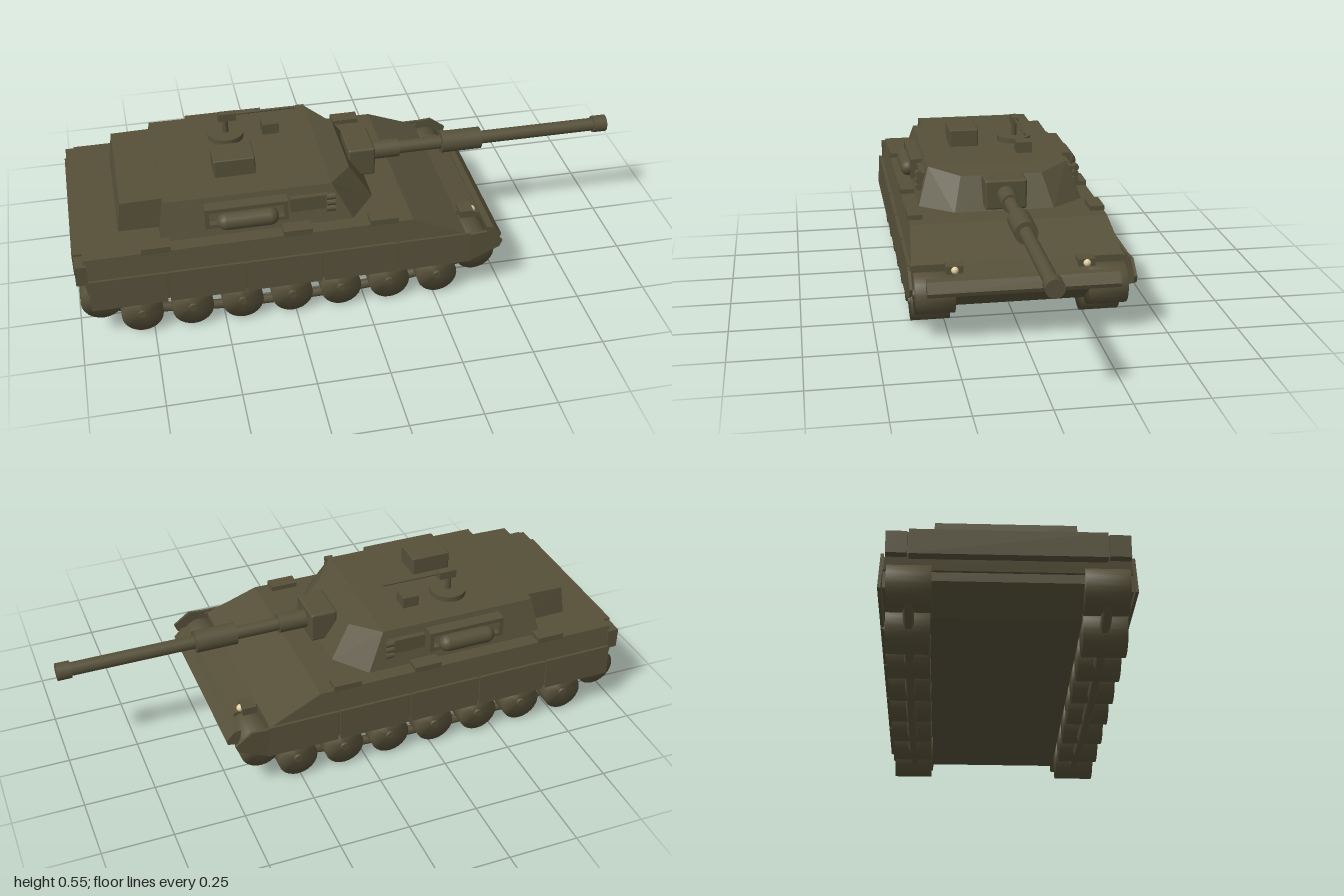
import * as THREE from 'three';
import { mergeVertices } from 'three/addons/utils/BufferGeometryUtils.js';
import { RoundedBoxGeometry } from 'three/addons/geometries/RoundedBoxGeometry.js';
import { ConvexGeometry } from 'three/addons/geometries/ConvexGeometry.js';

export function createModel() {
  const tank = new THREE.Group();
  tank.name = 'tank';
  const olive = new THREE.MeshStandardMaterial({ color: 0x565039 });
  olive.name = 'olive';
  const cream = new THREE.MeshStandardMaterial({ color: 0xe0cfa0 });
  cream.name = 'lampCream';

  const add = (name, geometry, material = olive) => {
    const mesh = new THREE.Mesh(geometry, material);
    mesh.name = name;
    tank.add(mesh);
    return mesh;
  };
  // Box given by its limits on each axis
  const box = (name, x0, x1, y0, y1, z0, z1, bevel = 0) => {
    const size = [x1 - x0, y1 - y0, Math.abs(z1 - z0)];
    const g = bevel ? new RoundedBoxGeometry(...size, 2, bevel) : new THREE.BoxGeometry(...size);
    return add(name, g.translate((x0 + x1) / 2, (y0 + y1) / 2, (z0 + z1) / 2));
  };
  // Cylinder lying along x
  const rod = (name, x0, x1, y, z, r, sides = 24) =>
    add(name, new THREE.CylinderGeometry(r, r, x1 - x0, sides).rotateZ(-Math.PI / 2).translate((x0 + x1) / 2, y, z));
  // Convex solid from half its corners, mirrored across z
  const solid = (name, corners) =>
    add(name, new ConvexGeometry(corners.flatMap(([x, y, z]) => [new THREE.Vector3(x, y, z), new THREE.Vector3(x, y, -z)])));

  // Hull
  solid('upperHull', [
    [-0.965, 0.33, 0.355], [0.17, 0.33, 0.355], [0.36, 0.25, 0.37],
    [0.36, 0.2, 0.375], [-0.96, 0.2, 0.375], [-0.97, 0.25, 0.37],
  ]);
  solid('lowerHull', [
    [-0.95, 0.24, 0.23], [-0.95, 0.17, 0.23], [-0.85, 0.097, 0.23],
    [0.36, 0.097, 0.23], [0.47, 0.175, 0.23], [0.47, 0.225, 0.23], [0.36, 0.25, 0.23],
  ]);
  solid('bowPlate', [
    [0.45, 0.235, 0.33], [0.475, 0.232, 0.33], [0.505, 0.2, 0.33], [0.5, 0.185, 0.33], [0.46, 0.175, 0.33],
  ]);
  box('rearPlate', -1, -0.96, 0.235, 0.32, -0.3, 0.3);

  // Smooth-shaded wheel
  let wheelGeometry = new THREE.CylinderGeometry(0.072, 0.072, 0.135, 24).rotateX(Math.PI / 2);
  wheelGeometry.deleteAttribute('normal');
  wheelGeometry.deleteAttribute('uv');
  wheelGeometry = mergeVertices(wheelGeometry);
  wheelGeometry.computeVertexNormals();
  const hubGeometry = new THREE.CylinderGeometry(0.014, 0.018, 0.012, 12).rotateX(Math.PI / 2);

  for (const s of [1, -1]) {
    // Running gear
    const wheel = (name, x, y, z) => {
      add(name, wheelGeometry).position.set(x, y, s * z);
      const hub = add(name + 'Hub', hubGeometry);
      hub.position.set(x, y, s * (z + 0.068));
      if (s < 0) hub.rotation.y = Math.PI;
    };
    for (let i = 0; i < 7; i++) wheel('roadWheel', -0.787 + i * 0.1745, 0.084, 0.302);
    wheel('frontSprocket', 0.395, 0.162, 0.298);
    wheel('rearSprocket', -0.918, 0.16, 0.298);
    const trackPath = new THREE.CatmullRomCurve3([
      [0.44, 0.12], [0.36, 0.085], [0.1, 0.035], [-0.27, 0.018], [-0.64, 0.035], [-0.9, 0.085], [-0.96, 0.12],
    ].map(([x, y]) => new THREE.Vector3(x, y, s * 0.298)));
    add('trackLink', new THREE.TubeGeometry(trackPath, 32, 0.017, 6));

    // Side skirts
    box('skirtBacking', -0.95, 0.37, 0.145, 0.25, s * 0.366, s * 0.377);
    for (let i = 0; i < 5; i++) {
      const x0 = -0.955 + i * 0.268;
      const panel = box('skirtPanel', -0.129, 0.129, -0.058, 0.058, -0.005, 0.005);
      panel.position.set(x0 + 0.129, 0.2, s * 0.383);
      panel.rotation.x = -s * 0.06;
    }
    const tip = new THREE.Shape([[0.37, 0.255], [0.43, 0.26], [0.49, 0.215], [0.48, 0.19], [0.37, 0.14]]
      .map((p) => new THREE.Vector2(...p)));
    add('skirtTip', new THREE.ExtrudeGeometry(tip, { depth: 0.01, bevelEnabled: false })
      .translate(0, 0, s * 0.383 - 0.005));
    box('rearLampBox', -0.995, -0.955, 0.24, 0.315, s * 0.305, s * 0.37);

    // Stowage lids on the deck
    for (const x of [-0.77, -0.285, 0.018]) box('deckLid', x, x + 0.1, 0.325, 0.347, s * 0.305, s * 0.357);

    // Headlights
    box('headlightBox', 0.37, 0.42, 0.235, 0.262, s * 0.198, s * 0.258);
    add('headlight', new THREE.SphereGeometry(0.013, 16, 12), cream).position.set(0.421, 0.249, s * 0.228);

    // Turret side rack with a rolled bundle
    for (const y of [0.365, 0.427]) box('rackRail', -0.545, -0.26, y, y + 0.014, s * 0.265, s * 0.31);
    for (const x of [-0.545, -0.274]) box('rackEnd', x, x + 0.014, 0.365, 0.441, s * 0.265, s * 0.31);
    add('rackRoll', new THREE.CapsuleGeometry(0.031, 0.15, 6, 16).rotateZ(Math.PI / 2)
      .translate(-0.4, 0.391, s * 0.313));

    // Smoke launchers
    box('launcherBracket', -0.25, -0.115, 0.375, 0.43, s * 0.26, s * 0.288);
    for (let i = 0; i < 3; i++) rod('smokeLauncher', -0.125, -0.095, 0.382 + i * 0.024, s * 0.296, 0.012, 12);
  }

  // Turret
  solid('turret', [
    [-0.7, 0.325, 0.305], [-0.03, 0.325, 0.305], [0.065, 0.325, 0.183],
    [-0.68, 0.459, 0.26], [-0.1, 0.459, 0.26], [-0.015, 0.443, 0.15],
  ]);
  solid('turretBustle', [
    [-0.66, 0.345, 0.235], [-0.837, 0.345, 0.232], [-0.822, 0.452, 0.225], [-0.66, 0.455, 0.225],
  ]);

  // Main gun
  box('mantlet', 0, 0.098, 0.345, 0.455, -0.076, 0.076, 0.008);
  rod('gunCollar', 0.09, 0.2, 0.4, 0, 0.034);
  rod('gunBarrel', 0.15, 0.96, 0.4, 0, 0.024);
  rod('boreEvacuator', 0.36, 0.51, 0.4, 0, 0.04);
  rod('muzzle', 0.95, 1, 0.4, 0, 0.031);

  // Roof equipment
  box('sightBox', -0.49, -0.345, 0.45, 0.525, 0.038, 0.148, 0.005);
  box('smallSight', -0.283, -0.223, 0.45, 0.5, -0.152, -0.092);
  add('cupola', new THREE.CylinderGeometry(0.065, 0.065, 0.03, 24)).position.set(-0.415, 0.464, -0.113);
  add('machineGunPost', new THREE.CylinderGeometry(0.011, 0.011, 0.07, 12)).position.set(-0.415, 0.505, -0.113);
  box('machineGunBody', -0.44, -0.375, 0.527, 0.556, -0.125, -0.101);
  rod('machineGunBarrel', -0.38, -0.16, 0.549, -0.113, 0.005, 10);

  return tank;
}
